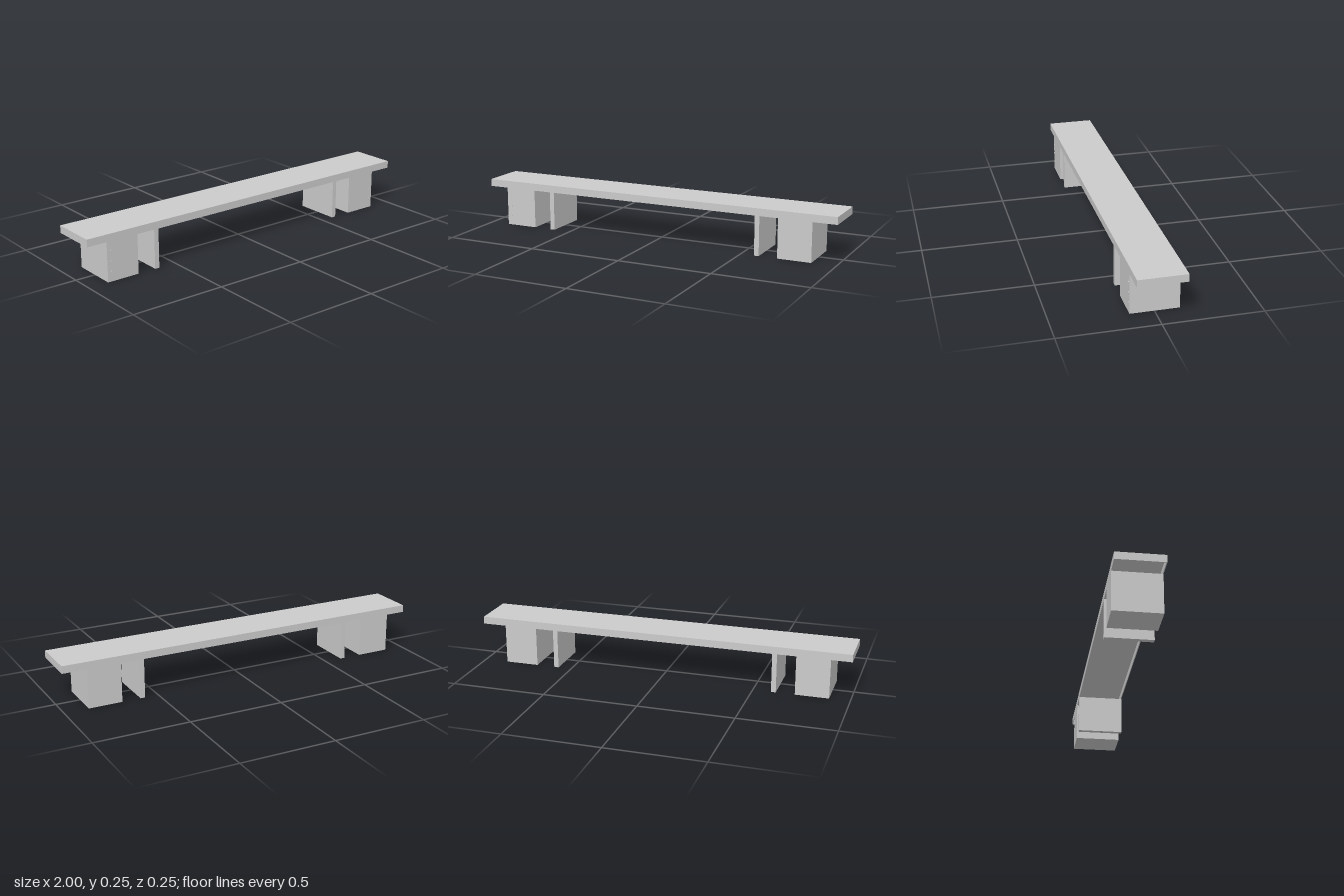
import * as THREE from 'three';

const BACK = -0.124, FRONT = 0.121, DEPTH = FRONT - BACK, MID = (FRONT + BACK) / 2;
const RIM_BOTTOM = 0.207, TOP = 0.246, SHEET = 0.004;

export function createModel() {
  const model = new THREE.Group();
  const material = new THREE.MeshStandardMaterial({ color: 0xcccccc });

  // Box given by its limits on x, y and z
  function addBox(name, x0, x1, y0, y1, z0, z1, parent = model) {
    const mesh = new THREE.Mesh(new THREE.BoxGeometry(x1 - x0, y1 - y0, z1 - z0), material);
    mesh.position.set((x0 + x1) / 2, (y0 + y1) / 2, (z0 + z1) / 2);
    mesh.name = name;
    parent.add(mesh);
  }

  // Desktop: a thin sheet with a folded rim, hollow underneath
  const desktop = new THREE.Group();
  desktop.name = 'desktop';
  model.add(desktop);
  addBox('topSheet', -1, 1, TOP - SHEET, TOP, BACK, FRONT, desktop);
  const rim = new THREE.Shape();
  rim.moveTo(-1, -DEPTH / 2).lineTo(1, -DEPTH / 2).lineTo(1, DEPTH / 2).lineTo(-1, DEPTH / 2).closePath();
  const hx = 1 - SHEET, hz = DEPTH / 2 - SHEET;
  const opening = new THREE.Path();
  opening.moveTo(-hx, -hz).lineTo(-hx, hz).lineTo(hx, hz).lineTo(hx, -hz).closePath();
  rim.holes.push(opening);
  const rimGeometry = new THREE.ExtrudeGeometry(rim, { depth: TOP - SHEET - RIM_BOTTOM, bevelEnabled: false });
  rimGeometry.rotateX(-Math.PI / 2);
  const rimMesh = new THREE.Mesh(rimGeometry, material);
  rimMesh.position.set(0, RIM_BOTTOM, MID);
  rimMesh.name = 'rim';
  desktop.add(rimMesh);

  // Drawer pedestals and the support panels beside them
  addBox('rightPedestal', -0.893, -0.718, 0, RIM_BOTTOM, BACK, FRONT);
  addBox('leftPedestal', 0.695, 0.873, 0, RIM_BOTTOM, BACK, FRONT);
  addBox('rightPanel', -0.62, -0.595, 0, RIM_BOTTOM, BACK, FRONT);
  addBox('leftPanel', 0.572, 0.597, 0, RIM_BOTTOM, BACK, FRONT);

  // Three small knobs on the front of each pedestal
  const knobGeometry = new THREE.CylinderGeometry(0.006, 0.005, 0.004, 16).rotateX(Math.PI / 2);
  for (const [side, x] of [['right', -0.87], ['left', 0.855]]) {
    for (const y of [0.051, 0.106, 0.16]) {
      const knob = new THREE.Mesh(knobGeometry, material);
      knob.position.set(x, y, FRONT + 0.002);
      knob.name = side + 'Knob';
      model.add(knob);
    }
  }
  return model;
}
